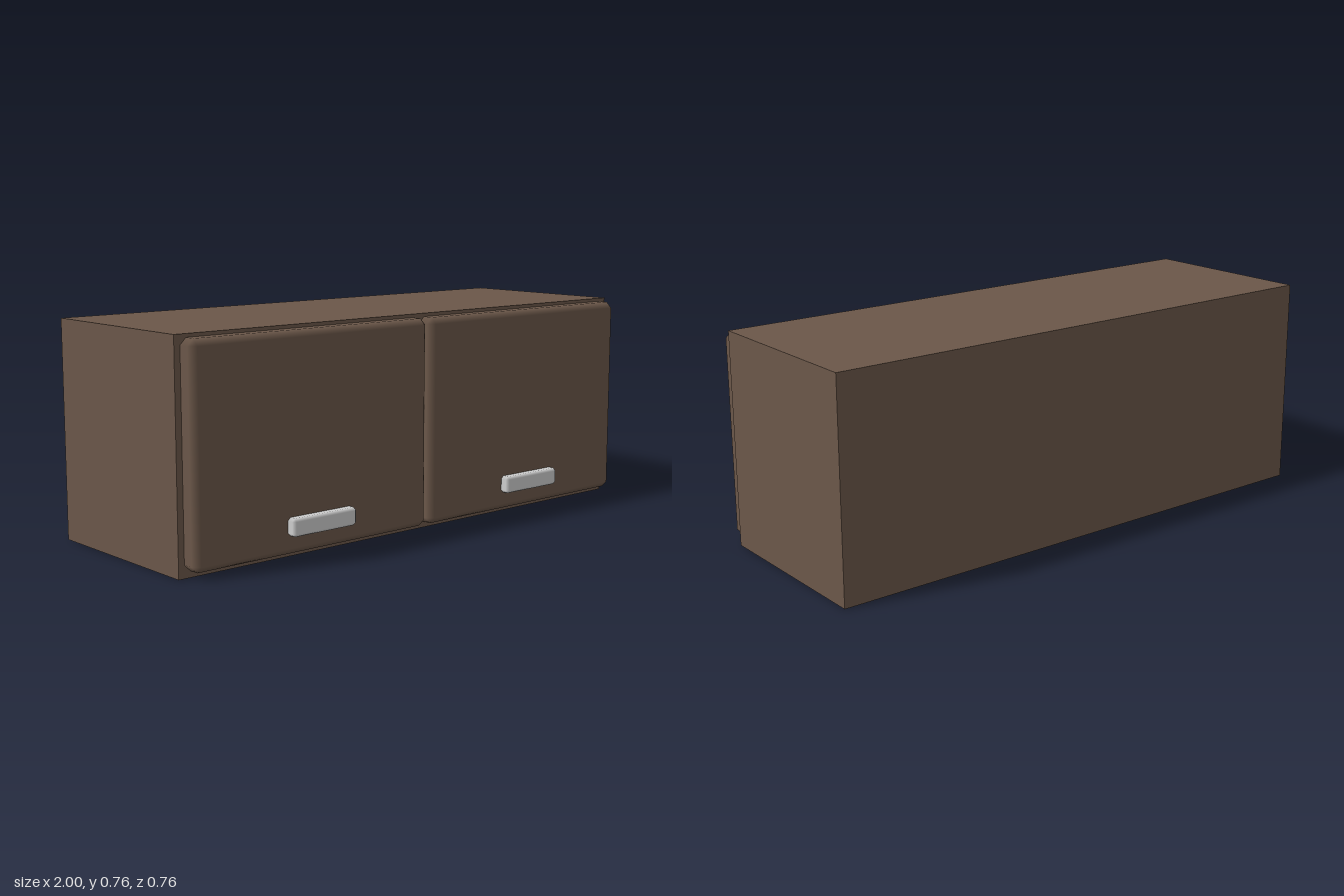
import * as THREE from 'three';

// Box with single-step chamfers; the chamfers blend smoothly between the flat faces.
function chamferBox(w, h, d, r) {
  const half = [w / 2, h / 2, d / 2];
  const positions = [], normals = [], index = [];
  const point = (i) => new THREE.Vector3().fromArray(positions, i * 3);
  const id = (axis, corner) => axis * 8 + corner;

  for (let axis = 0; axis < 3; axis++) {
    for (let corner = 0; corner < 8; corner++) {
      for (let k = 0; k < 3; k++) {
        const sign = (corner >> k) & 1 ? 1 : -1;
        positions.push(sign * (k === axis ? half[k] : half[k] - r));
        normals.push(k === axis ? sign : 0);
      }
    }
  }

  // Adds a triangle facing away from the middle of the box
  const tri = (a, b, c) => {
    const A = point(a), B = point(b), C = point(c);
    const n = B.clone().sub(A).cross(C.clone().sub(A));
    if (n.dot(A.add(B).add(C)) > 0) index.push(a, b, c);
    else index.push(a, c, b);
  };
  const quad = (a, b, c, e) => { tri(a, b, c); tri(a, c, e); };

  for (let a = 0; a < 3; a++) {
    const b = (a + 1) % 3, c = (a + 2) % 3;
    const A = 1 << a, B = 1 << b, C = 1 << c;
    // Flat faces
    for (const s of [0, A]) quad(id(a, s), id(a, s + B), id(a, s + B + C), id(a, s + C));
    // Chamfers running along axis a
    for (const s of [0, B, C, B + C]) quad(id(b, s), id(b, s + A), id(c, s + A), id(c, s));
  }
  // Corner facets
  for (let s = 0; s < 8; s++) tri(id(0, s), id(1, s), id(2, s));

  const geometry = new THREE.BufferGeometry();
  geometry.setAttribute('position', new THREE.Float32BufferAttribute(positions, 3));
  geometry.setAttribute('normal', new THREE.Float32BufferAttribute(normals, 3));
  geometry.setIndex(index);
  return geometry;
}

export function createModel() {
  const model = new THREE.Group();
  model.name = 'wallCabinet';

  const wood = new THREE.MeshStandardMaterial({ color: 0x6b5749 });
  wood.name = 'brownWood';
  const metal = new THREE.MeshStandardMaterial({ color: 0xcdcdcd });
  metal.name = 'lightGreyMetal';

  const add = (name, geometry, material, x, y, z) => {
    const mesh = new THREE.Mesh(geometry, material);
    mesh.name = name;
    mesh.position.set(x, y, z);
    model.add(mesh);
  };

  // Cabinet body
  add('body', new THREE.BoxGeometry(2, 0.76, 0.67), wood, 0, 0.38, -0.045);

  // Two doors with a bar handle each; their backs sink into the body and door
  const doorGeometry = chamferBox(0.98, 0.726, 0.09, 0.022);
  const handleGeometry = chamferBox(0.268, 0.061, 0.05, 0.01);
  for (const [side, x] of [['right', -0.488], ['left', 0.501]]) {
    add(side + 'Door', doorGeometry, wood, x, 0.385, 0.305);
    add(side + 'Handle', handleGeometry, metal, x + 0.004, 0.117, 0.357);
  }
  return model;
}
